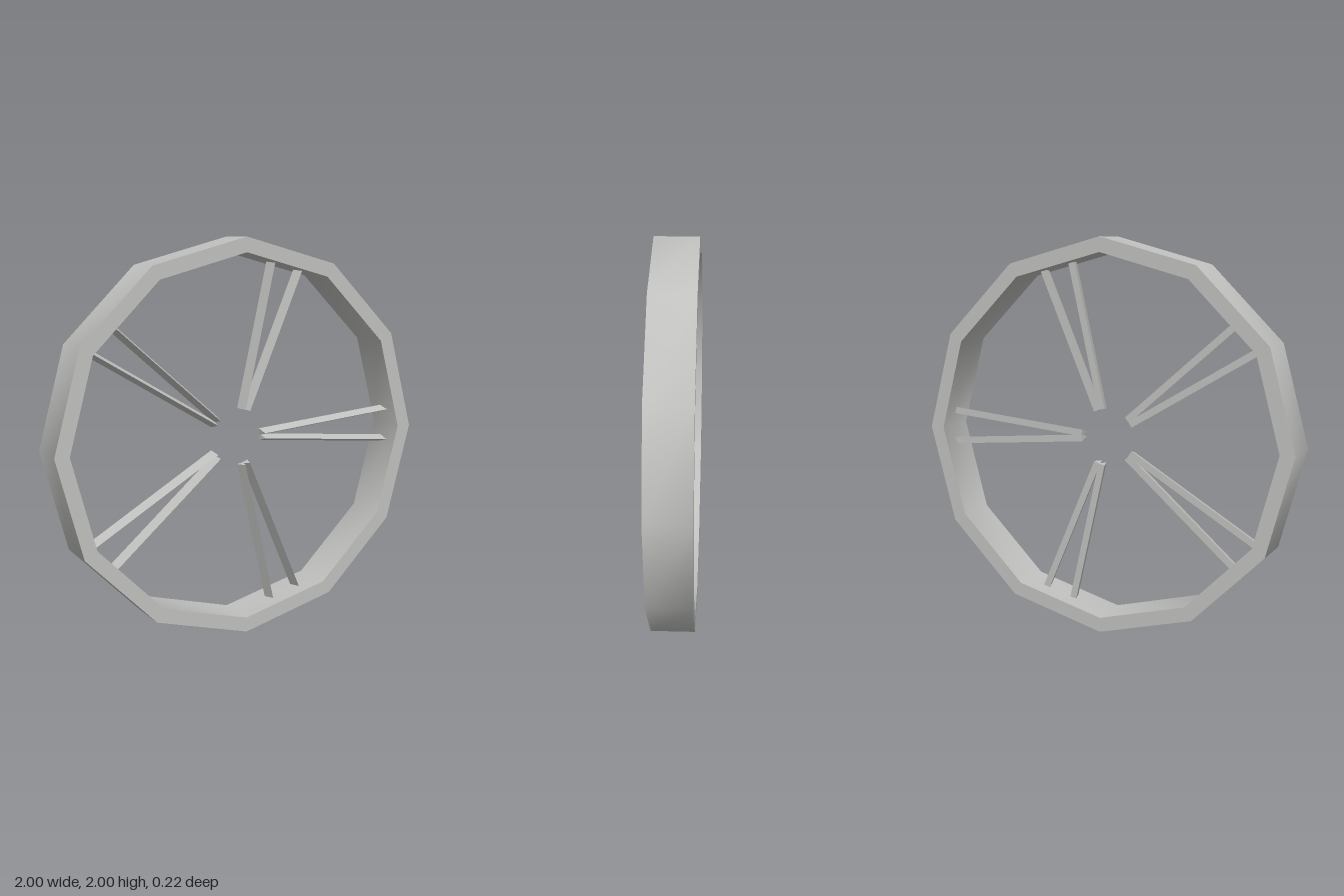
import * as THREE from 'three';
import { toCreasedNormals } from 'three/addons/utils/BufferGeometryUtils.js';

const SIDES = 12, OUTER = 1, INNER = 0.925, WIDTH = 0.22;
const SPOKE_PAIRS = 5, SPLAY = 5.2 * Math.PI / 180;
const SPOKE_START = 0.145, SPOKE_END = 0.93;

// Corners of the regular rim polygon
function polygon(radius) {
  return Array.from({ length: SIDES }, (_, i) => {
    const a = i / SIDES * Math.PI * 2;
    return new THREE.Vector2(radius * Math.cos(a), radius * Math.sin(a));
  });
}

export function createModel() {
  const silver = new THREE.MeshStandardMaterial({ color: 0xc0c0be });
  silver.name = 'silverGrey';

  const model = new THREE.Group();
  model.name = 'wheel';
  const wheel = new THREE.Group();
  wheel.name = 'rimAndSpokes';
  wheel.position.y = 1;
  model.add(wheel);

  // Twelve-sided rim, smooth around its band and sharp at its side edges
  const rimShape = new THREE.Shape(polygon(OUTER));
  rimShape.holes.push(new THREE.Path(polygon(INNER)));
  const rimGeometry = new THREE.ExtrudeGeometry(rimShape, { depth: WIDTH, bevelEnabled: false });
  rimGeometry.translate(0, 0, -WIDTH / 2);
  const rim = new THREE.Mesh(toCreasedNormals(rimGeometry, 0.7), silver);
  rim.name = 'rim';
  wheel.add(rim);

  // Triangular spoke bar along +x: flat at the back, ridge toward the front
  const section = new THREE.Shape([
    new THREE.Vector2(0.02, -0.0175),
    new THREE.Vector2(0.02, 0.0175),
    new THREE.Vector2(-0.04, 0),
  ]);
  const spokeGeometry = new THREE.ExtrudeGeometry(section, {
    depth: SPOKE_END - SPOKE_START, bevelEnabled: false,
  });
  spokeGeometry.rotateY(Math.PI / 2);
  spokeGeometry.translate(SPOKE_START, 0, 0);

  // Five splayed pairs of spokes
  for (let i = 0; i < SPOKE_PAIRS; i++) {
    const pair = new THREE.Group();
    pair.name = 'spokePair' + (i + 1);
    pair.rotation.z = i / SPOKE_PAIRS * Math.PI * 2;
    for (const side of [-1, 1]) {
      const spoke = new THREE.Mesh(spokeGeometry, silver);
      spoke.name = side < 0 ? 'spokeA' : 'spokeB';
      spoke.rotation.z = side * SPLAY;
      pair.add(spoke);
    }
    wheel.add(pair);
  }
  return model;
}
